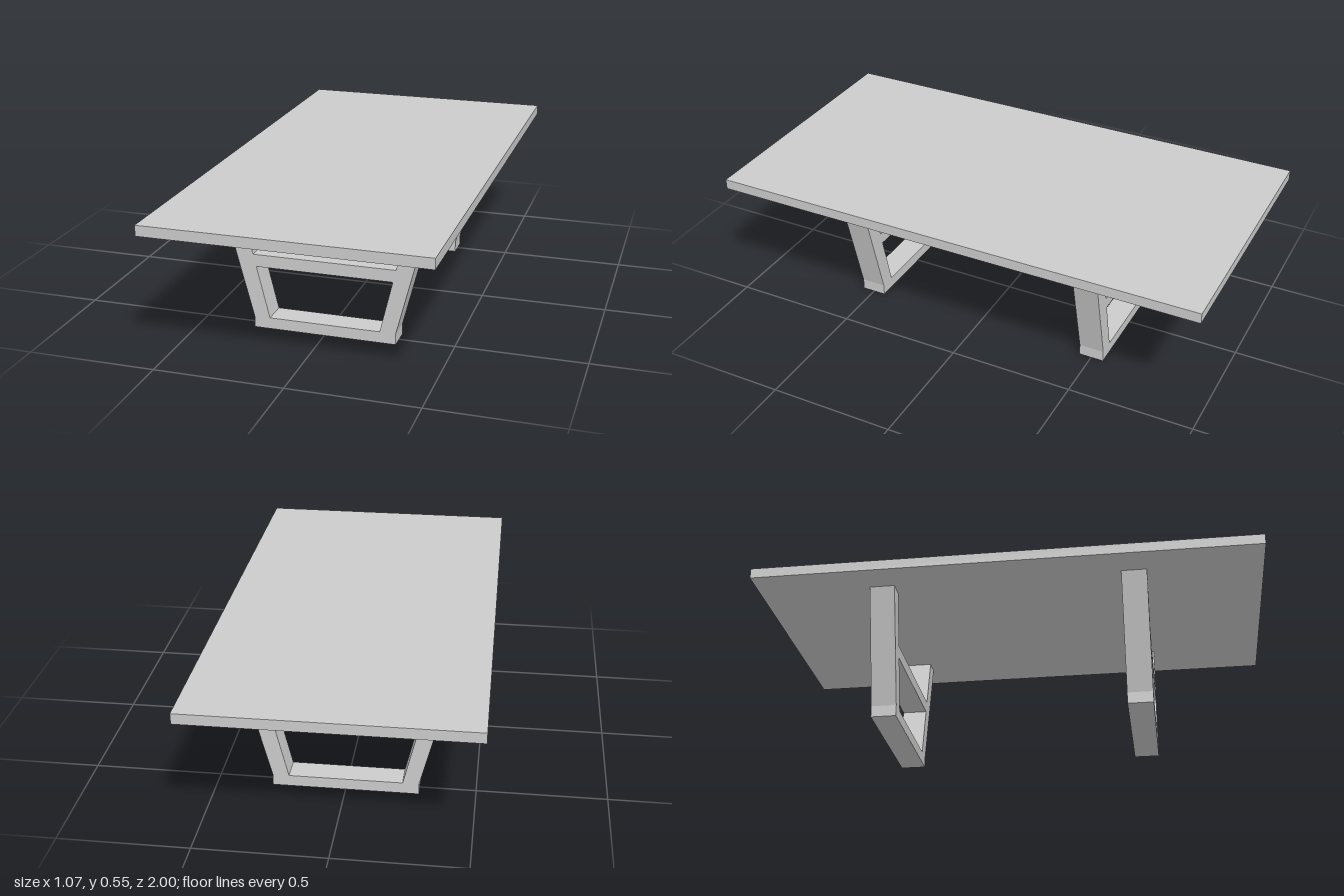
import * as THREE from 'three';

const material = new THREE.MeshStandardMaterial({ color: 0xcccccc, flatShading: true });
const DEPTH = 0.1; // thickness of each leg frame along z

// Beam with a four-cornered front profile, extruded along z and centred on z = 0
function beam(name, corners) {
  const shape = new THREE.Shape(corners.map(([x, y]) => new THREE.Vector2(x, y)));
  const geometry = new THREE.ExtrudeGeometry(shape, { depth: DEPTH, bevelEnabled: false });
  geometry.translate(0, 0, -DEPTH / 2);
  const mesh = new THREE.Mesh(geometry, material);
  mesh.name = name;
  return mesh;
}

// Trapezoid beam symmetric about x = 0
const crossBeam = (name, y0, y1, half0, half1) =>
  beam(name, [[-half0, y0], [half0, y0], [half1, y1], [-half1, y1]]);

// Splayed trestle: foot bar, two leaning legs and a stretcher between them
function legFrame(name) {
  const frame = new THREE.Group();
  frame.name = name;
  frame.add(crossBeam('footBar', 0, 0.045, 0.283, 0.283));
  frame.add(crossBeam('stretcher', 0.253, 0.302, 0.27, 0.282));
  const leg = [[0.22, 0.045], [0.283, 0.045], [0.403, 0.511], [0.332, 0.511]];
  frame.add(beam('leftLeg', leg));
  frame.add(beam('rightLeg', leg.map(([x, y]) => [-x, y]).reverse()));
  return frame;
}

export function createModel() {
  const table = new THREE.Group();
  table.name = 'table';

  // Table top
  const top = new THREE.Mesh(new THREE.BoxGeometry(1.074, 0.041, 2), material);
  top.name = 'tableTop';
  top.position.y = 0.5315;
  table.add(top);

  // Front and back leg frames
  for (const [name, z] of [['frontLegFrame', 0.5], ['backLegFrame', -0.5]]) {
    const frame = legFrame(name);
    frame.position.z = z;
    table.add(frame);
  }
  return table;
}
